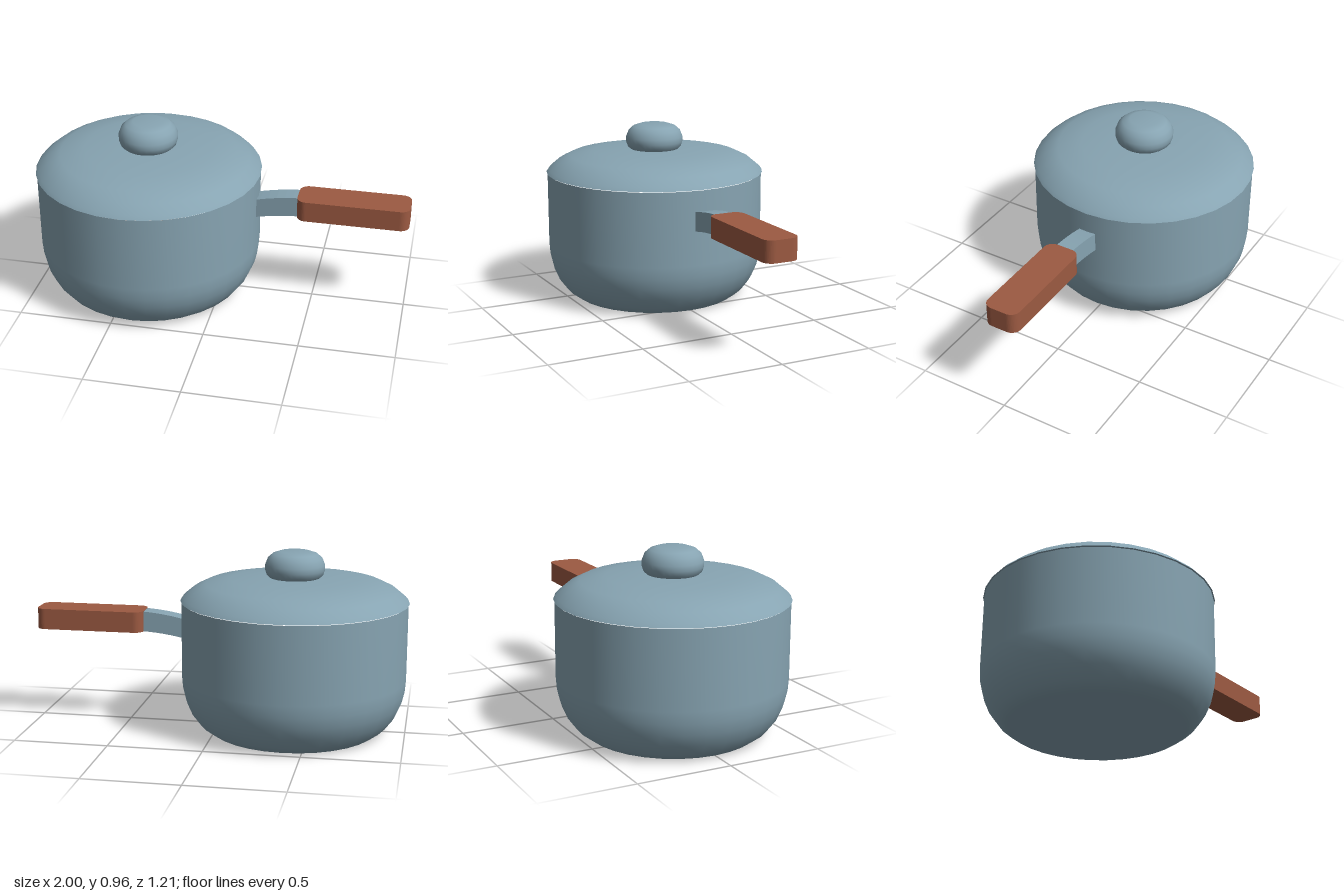
import * as THREE from 'three';

const steel = new THREE.MeshStandardMaterial({ color: 0x87a4b2 });
steel.name = 'blue grey enamel';
const wood = new THREE.MeshStandardMaterial({ color: 0x9c5a42 });
wood.name = 'reddish wood';

const POT_X = -0.4;

// Round part turned about the pot's axis; profile runs bottom to top as [radius, y]
function turned(name, profile, segments = 32) {
  const points = profile.map(([r, y]) => new THREE.Vector2(r, y));
  const mesh = new THREE.Mesh(new THREE.LatheGeometry(points, segments), steel);
  mesh.name = name;
  mesh.position.x = POT_X;
  return mesh;
}

// Flat-sided bar: an outline extruded by depth
function bar(name, shape, depth, material) {
  const geometry = new THREE.ExtrudeGeometry(shape, { depth, bevelEnabled: false, curveSegments: 6 });
  const mesh = new THREE.Mesh(geometry, material);
  mesh.name = name;
  return mesh;
}

export function createModel() {
  const model = new THREE.Group();
  model.name = 'saucepan';

  // Pot with a rounded lower wall
  model.add(turned('potBody', [
    [0, 0], [0.45, 0], [0.505, 0.04], [0.55, 0.1], [0.578, 0.165],
    [0.592, 0.225], [0.597, 0.29], [0.597, 0.695],
  ]));

  // Domed lid, closed underneath
  model.add(turned('lid', [
    [0.603, 0.699], [0.588, 0.717], [0.54, 0.757], [0.47, 0.791],
    [0.34, 0.814], [0.17, 0.822], [0, 0.825],
  ]));
  model.add(turned('lidUnderside', [[0, 0.699], [0.603, 0.699]]));

  // Knob
  model.add(turned('lidKnob', [
    [0.13, 0.82], [0.148, 0.836], [0.157, 0.862], [0.157, 0.89],
    [0.143, 0.925], [0.118, 0.947], [0.08, 0.96], [0, 0.96],
  ]));

  // Curved bracket between pot and grip
  const curve = new THREE.Shape();
  curve.moveTo(0.17, 0.472);
  curve.quadraticCurveTo(0.3, 0.503, 0.43, 0.506);
  curve.lineTo(0.43, 0.615);
  curve.quadraticCurveTo(0.3, 0.61, 0.17, 0.576);
  curve.closePath();
  const bracket = bar('handleBracket', curve, 0.096, steel);
  bracket.position.z = -0.048;
  model.add(bracket);

  // Wooden grip: rounded rectangle seen from above
  const [x0, x1, w, r] = [0.41, 1, 0.093, 0.05];
  const outline = new THREE.Shape();
  outline.moveTo(x0 + r, -w);
  outline.lineTo(x1 - r, -w);
  outline.absarc(x1 - r, -w + r, r, -Math.PI / 2, 0);
  outline.absarc(x1 - r, w - r, r, 0, Math.PI / 2);
  outline.absarc(x0 + r, w - r, r, Math.PI / 2, Math.PI);
  outline.absarc(x0 + r, -w + r, r, Math.PI, Math.PI * 1.5);
  const grip = bar('handleGrip', outline, 0.112, wood);
  grip.rotation.x = -Math.PI / 2;
  grip.position.y = 0.505;
  model.add(grip);

  return model;
}
